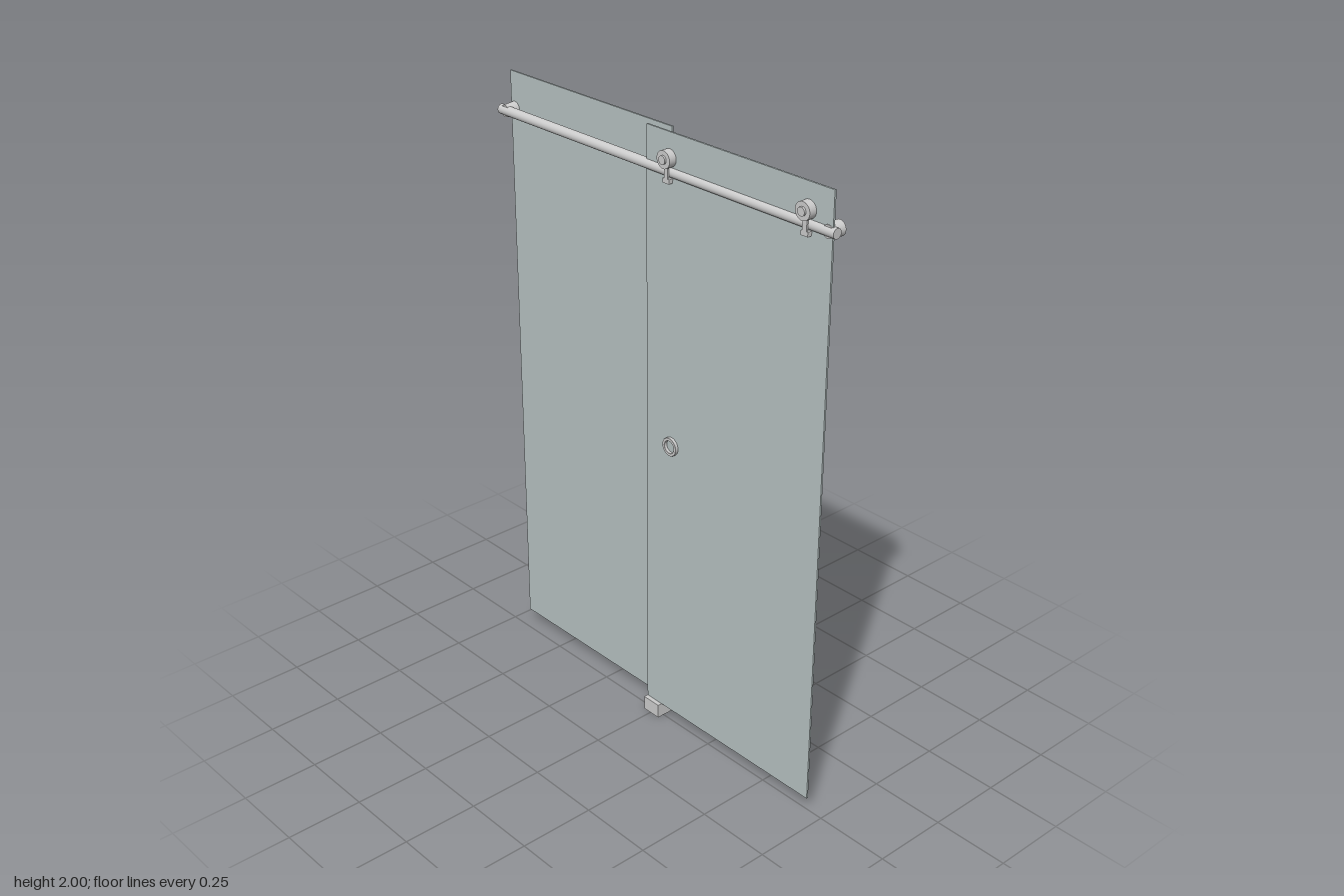
import * as THREE from 'three';

const metal = new THREE.MeshStandardMaterial({ color: 0xcccccc });
const glass = new THREE.MeshStandardMaterial({ color: 0xb5c0c0 });

export function createModel() {
  const model = new THREE.Group();

  const add = (parent, name, geometry, x, y, z, material = metal) => {
    const mesh = new THREE.Mesh(geometry, material);
    mesh.name = name;
    mesh.position.set(x, y, z);
    parent.add(mesh);
    return mesh;
  };
  // Cylinder along z between two depths
  const disc = (parent, name, rFront, rBack, zBack, zFront, x, y) => {
    const geo = new THREE.CylinderGeometry(rFront, rBack, zFront - zBack, 32).rotateX(Math.PI / 2);
    return add(parent, name, geo, x, y, (zFront + zBack) / 2);
  };
  // Glass sheet between two x positions
  const sheet = (name, x0, x1, z) =>
    add(model, name, new THREE.BoxGeometry(x1 - x0, 1.952, 0.006), (x0 + x1) / 2, 1.024, z, glass);

  sheet('fixedGlassPanel', -0.697, 0.038, -0.03);
  sheet('slidingGlassDoor', -0.03, 0.696, 0.006);

  // Rail running through the full width
  const railY = 1.882, railZ = 0.004;
  add(model, 'rail', new THREE.CylinderGeometry(0.0155, 0.0155, 1.414, 32).rotateZ(Math.PI / 2), 0, railY, railZ);

  // Tapered mounts behind both rail ends
  for (const x of [-0.68, 0.68]) {
    disc(model, 'railMount', 0.019, 0.0235, -0.033, 0.012, x, railY);
  }

  // Door rollers with a hub, a rear cap and a clip below the rail
  for (const x of [0.068, 0.608]) {
    const roller = new THREE.Group();
    roller.name = 'roller';
    disc(roller, 'rollerWheel', 0.027, 0.027, 0.009, 0.034, 0, 0.042);
    disc(roller, 'rollerHub', 0.013, 0.013, 0.034, 0.04, 0, 0.042);
    disc(roller, 'rollerRearCap', 0.02, 0.02, 0, 0.003, 0, 0.042);
    add(roller, 'rollerStem', new THREE.BoxGeometry(0.016, 0.05, 0.006), 0, -0.003, 0.021);
    add(roller, 'rollerClip', new THREE.BoxGeometry(0.026, 0.014, 0.016), 0, -0.023, 0.016);
    roller.position.set(x, railY, 0);
    model.add(roller);
  }

  // Ring pull on the sliding door
  const pull = new THREE.Shape().absarc(0, 0, 0.029, 0, Math.PI * 2, false);
  pull.holes.push(new THREE.Path().absarc(0, 0, 0.021, 0, Math.PI * 2, true));
  add(model, 'ringPull', new THREE.ExtrudeGeometry(pull, {
    depth: 0.008, bevelEnabled: true, bevelSize: 0.001, bevelThickness: 0.002, bevelSegments: 2, curveSegments: 32,
  }), 0.08, 1.017, 0.009);

  // Floor guide under the overlap
  add(model, 'floorGuide', new THREE.BoxGeometry(0.068, 0.048, 0.064), 0.004, 0.024, -0.008);

  return model;
}
